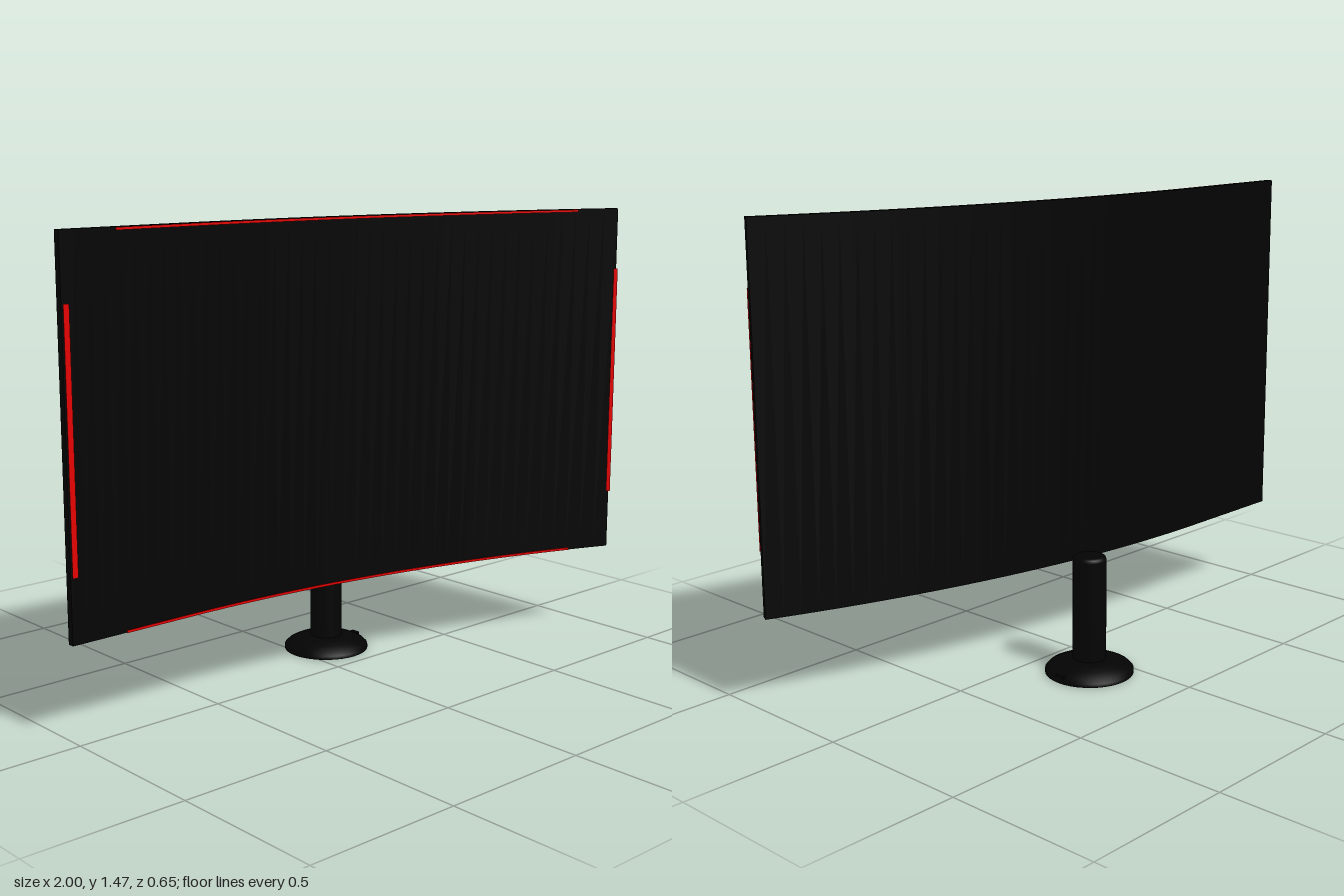
import * as THREE from 'three';

const material = (name, color) => {
  const m = new THREE.MeshStandardMaterial({ color });
  m.name = name;
  return m;
};

// Screen line seen from above: flat on the right end, then an even sweep forward
const BEND_X = -0.6, BEND = 0.131, BACK_Z = -0.03;

// Box bent along the screen line; offsets are measured forward from that line
function bentBox(x0, x1, y0, y1, back, front, segments) {
  const g = new THREE.BoxGeometry(x1 - x0, y1 - y0, front - back, segments, 1, 1);
  g.translate((x0 + x1) / 2, (y0 + y1) / 2, (back + front) / 2);
  const p = g.attributes.position;
  for (let i = 0; i < p.count; i++) {
    const x = p.getX(i), offset = p.getZ(i);
    const t = Math.max(0, x - BEND_X);
    const angle = Math.atan(2 * BEND * t);
    p.setXYZ(i, x - offset * Math.sin(angle), p.getY(i),
      BACK_Z + BEND * t * t + offset * Math.cos(angle));
  }
  g.computeVertexNormals();
  return g;
}

export function createModel() {
  const model = new THREE.Group();
  const black = material('black', 0x030303);
  const red = material('red trim', 0xe60000);

  const add = (name, geometry, mat, parent = model) => {
    const mesh = new THREE.Mesh(geometry, mat);
    mesh.name = name;
    parent.add(mesh);
    return mesh;
  };

  // Curved panel
  add('curvedPanel', bentBox(-1, 0.996, 0.295, 1.471, -0.011, 0.011, 40), black);

  // Red trim strips standing just in front of the panel
  add('topTrim', bentBox(-0.82, 0.85, 1.462, 1.47, 0.018, 0.021, 32), red);
  add('bottomTrim', bentBox(-0.82, 0.85, 0.297, 0.305, 0.018, 0.021, 32), red);
  add('rightTrim', bentBox(-0.998, -0.979, 0.495, 1.27, 0.018, 0.019, 1), red);
  add('leftTrim', bentBox(0.982, 0.996, 0.495, 1.27, 0.021, 0.022, 1), red);

  // Stand behind the panel
  const stand = new THREE.Group();
  stand.name = 'stand';
  stand.position.set(0.11, 0, -0.182);
  model.add(stand);

  const lathe = (points) =>
    new THREE.LatheGeometry(points.map(([r, y]) => new THREE.Vector2(r, y)), 40);
  add('base', lathe([[0, 0], [0.141, 0], [0.141, 0.011], [0.13, 0.022], [0.105, 0.034],
    [0.08, 0.042], [0.053, 0.047], [0, 0.049]]), black, stand);
  add('column', lathe([[0.053, 0.03], [0.053, 0.372], [0.05, 0.381], [0.043, 0.385],
    [0, 0.385]]), black, stand);

  // Small tab on the rim of the base
  const tab = add('baseTab', new THREE.BoxGeometry(0.03, 0.016, 0.03), black, stand);
  tab.position.set(0.124, 0.017, 0);

  return model;
}
